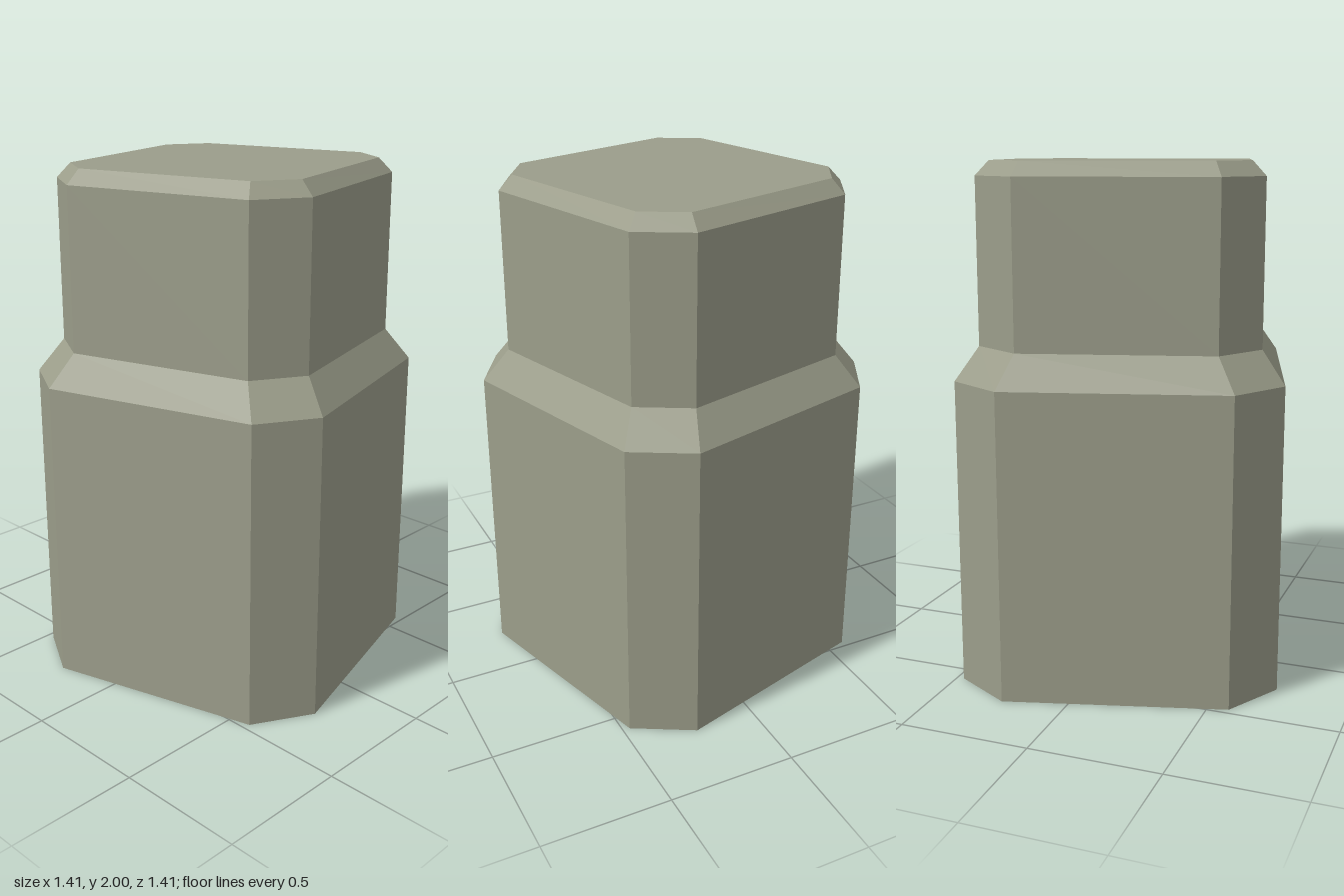
import * as THREE from 'three';

// Chamfered-square ring: eight points at height y, two per corner.
function ring(y, radius, a0, a1) {
  const points = [];
  for (let k = 0; k < 4; k++) {
    for (const a of [a0, a1]) {
      const t = THREE.MathUtils.degToRad(a + k * 90);
      points.push(new THREE.Vector3(radius * Math.cos(t), y, radius * Math.sin(t)));
    }
  }
  return points;
}

function facets(triangles) {
  const geometry = new THREE.BufferGeometry().setFromPoints(triangles);
  geometry.computeVertexNormals();
  return geometry;
}

// Flat wall between two rings
function band(low, high) {
  const out = [];
  low.forEach((p, i) => {
    const j = (i + 1) % low.length;
    out.push(p, high[i], high[j], p, high[j], low[j]);
  });
  return facets(out);
}

// Flat lid across one ring, facing up or down
function lid(points, up) {
  const out = [];
  for (let i = 1; i < points.length - 1; i++) {
    if (up) out.push(points[0], points[i + 1], points[i]);
    else out.push(points[0], points[i], points[i + 1]);
  }
  return facets(out);
}

export function createModel() {
  const group = new THREE.Group();
  group.name = 'steppedBlock';
  const stone = new THREE.MeshStandardMaterial({ color: 0x9b9d8a });
  stone.name = 'grey green stone';

  const add = (name, geometry) => {
    const mesh = new THREE.Mesh(geometry, stone);
    mesh.name = name;
    group.add(mesh);
  };

  const rings = [
    ring(0, 0.747, 19, 39.2),
    ring(1.193, 0.747, 19, 39.2),
    ring(1.318, 0.644, 19, 39.2),
    ring(1.945, 0.644, 19, 39.2),
    ring(2, 0.592, 20.2, 38.1),
  ];

  // Walls from the ground up, then the two ends
  ['lowerBody', 'shoulder', 'upperBody', 'topBevel'].forEach((name, i) => {
    add(name, band(rings[i], rings[i + 1]));
  });
  add('base', lid(rings[0], false));
  add('topFace', lid(rings[4], true));
  return group;
}
